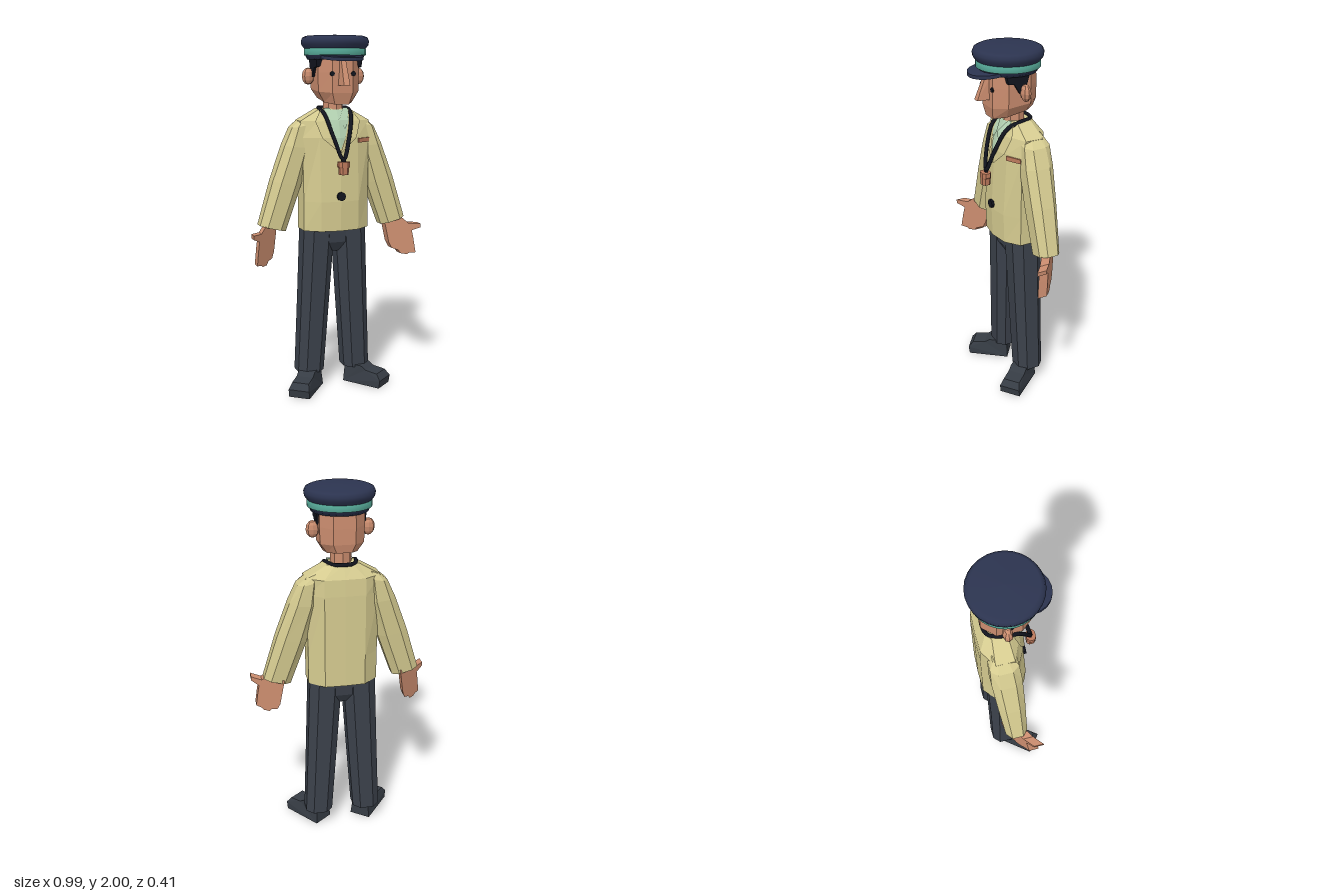
import * as THREE from 'three';

const paint = (name, color) => {
  const m = new THREE.MeshStandardMaterial({ color });
  m.name = name;
  return m;
};

// Faceted normals
function flat(g) {
  const out = g.index ? g.toNonIndexed() : g;
  out.computeVertexNormals();
  return out;
}

// Copy reflected in x, with corner order restored
function mirror(g) {
  const out = g.index ? g.toNonIndexed() : g.clone();
  const p = out.attributes.position;
  for (let i = 0; i < p.count; i += 3) {
    const t = [0, 2, 1].map(k => [-p.getX(i + k), p.getY(i + k), p.getZ(i + k)]);
    t.forEach((v, k) => p.setXYZ(i + k, ...v));
  }
  out.computeVertexNormals();
  return out;
}

function fromTriangles(list) {
  const g = new THREE.BufferGeometry();
  g.setAttribute('position', new THREE.Float32BufferAttribute(list.flat(2), 3));
  g.computeVertexNormals();
  return g;
}

// Skin over rings listed bottom to top, each counter-clockwise from above
function loft(rings) {
  const tris = [], n = rings[0].length;
  for (let r = 0; r + 1 < rings.length; r++) {
    for (let i = 0; i < n; i++) {
      const j = (i + 1) % n, lo = rings[r], up = rings[r + 1];
      tris.push([lo[i], lo[j], up[j]], [lo[i], up[j], up[i]]);
    }
  }
  const bottom = rings[0], top = rings[rings.length - 1];
  for (let i = 1; i + 1 < n; i++) {
    tris.push([top[0], top[i], top[i + 1]], [bottom[0], bottom[i + 1], bottom[i]]);
  }
  return fromTriangles(tris);
}

// Chamfered rectangular section, tilted by slopes kx and kz
function oct(cx, cy, cz, rx, rz, kx = 0, kz = 0) {
  const c = 0.5;
  return [[1, -c], [c, -1], [-c, -1], [-1, -c], [-1, c], [-c, 1], [c, 1], [1, c]]
    .map(([u, v]) => [cx + u * rx, cy + kx * u * rx + kz * v * rz, cz + v * rz]);
}

// Prism from an outline, centred on its depth
function prism(points, depth) {
  const shape = new THREE.Shape(points.map(p => new THREE.Vector2(...p)));
  return new THREE.ExtrudeGeometry(shape, { depth, bevelEnabled: false }).translate(0, 0, -depth / 2);
}

// Jacket rings: y, half width, fold x, front z, side front z, side back z, back z
const JACKET = [
  [0.935, 0.19, 0.11, 0.075, 0.0, -0.11, -0.18],
  [1.1, 0.19, 0.11, 0.08, 0.0, -0.11, -0.18],
  [1.45, 0.195, 0.11, 0.06, 0.0, -0.12, -0.18],
  [1.54, 0.2, 0.11, 0.035, -0.02, -0.12, -0.175],
  [1.605, 0.085, 0.05, -0.005, -0.03, -0.11, -0.135],
];
const jacketRing = ([y, w, m, zf, s, b, zb]) => [
  [w, y, s], [w, y, b], [m, y, zb], [0, y, zb - 0.004], [-m, y, zb],
  [-w, y, b], [-w, y, s], [-m, y, zf - 0.15 * m], [0, y, zf], [m, y, zf - 0.15 * m],
];

function chestZ(x, y) {
  let i = 0;
  while (i < JACKET.length - 2 && y > JACKET[i + 1][0]) i++;
  const a = JACKET[i], b = JACKET[i + 1];
  return a[3] + (b[3] - a[3]) * (y - a[0]) / (b[0] - a[0]) - 0.15 * x;
}

// Cloth strip lying on the chest; rows are y, inner x, outer x
function chestStrip(rows, lift) {
  const tris = [], at = (x, y) => [x, y, chestZ(x, y) + lift];
  for (let i = 0; i + 1 < rows.length; i++) {
    const [y0, a0, b0] = rows[i], [y1, a1, b1] = rows[i + 1];
    const a = at(a0, y0), b = at(b0, y0), c = at(b1, y1), d = at(a1, y1);
    tris.push([a, b, c], [a, c, d]);
  }
  return fromTriangles(tris);
}

export function createModel() {
  const group = new THREE.Group();
  const skin = paint('skin', 0xcb8d6f), cloth = paint('jacket cloth', 0xd5cb90);
  const mint = paint('shirt mint', 0xb4d2b2), slate = paint('trouser slate', 0x3b414b);
  const leather = paint('shoe leather', 0x363c44), navy = paint('cap navy', 0x2c3450);
  const teal = paint('cap band teal', 0x58ad9b), black = paint('black', 0x12151f);
  const copper = paint('copper', 0xbd7a5c);
  cloth.side = mint.side = THREE.DoubleSide;

  const add = (name, g, mat) => {
    const m = new THREE.Mesh(g, mat);
    m.name = name;
    group.add(m);
  };
  const pair = (name, g, mat) => {
    const f = flat(g);
    add('left' + name, f, mat);
    add('right' + name, mirror(f), mat);
  };
  const lathe = pts => new THREE.LatheGeometry(pts.map(p => new THREE.Vector2(...p)), 28).translate(0, 0, -0.021);

  // Cap
  add('capBase', lathe([[0, 1.868], [0.15, 1.868], [0.162, 1.892]]), navy);
  add('capBand', lathe([[0.16, 1.89], [0.169, 1.892], [0.169, 1.925], [0.16, 1.927]]), teal);
  add('capCrown', lathe([[0.164, 1.922], [0.182, 1.945], [0.185, 1.965], [0.177, 1.984], [0.16, 1.992], [0, 2]]), navy);
  const visor = new THREE.CylinderGeometry(0.117, 0.117, 0.018, 20).translate(0, 1.88, 0.083);
  const vp = visor.attributes.position;
  for (let i = 0; i < vp.count; i++) vp.setY(i, vp.getY(i) - 0.12 * Math.max(0, vp.getZ(i) - 0.08));
  add('capVisor', flat(visor), navy);

  // Head
  add('head', loft([
    oct(0, 1.652, -0.03, 0.08, 0.118, 0, -0.18),
    oct(0, 1.705, -0.028, 0.115, 0.128, 0, -0.1),
    oct(0, 1.8, -0.028, 0.118, 0.128),
    oct(0, 1.89, -0.028, 0.116, 0.125),
  ]), skin);
  const noseRing = (y, w, tip) => [[w, y, 0.08], [-w, y, 0.08], [-w * 0.6, y, tip], [w * 0.6, y, tip]];
  add('nose', loft([noseRing(1.732, 0.029, 0.165), noseRing(1.86, 0.022, 0.112)]), skin);
  add('neck', flat(new THREE.CylinderGeometry(0.056, 0.058, 0.14, 8).translate(0, 1.62, -0.055)), skin);
  pair('Ear', new THREE.SphereGeometry(1, 8, 6).scale(0.036, 0.046, 0.026).translate(0.146, 1.78, -0.045), skin);
  pair('Eye', new THREE.CylinderGeometry(0.013, 0.013, 0.008, 8).rotateX(Math.PI / 2).translate(0.06, 1.793, 0.102), black);
  pair('Hair', prism([[0.06, 1.9], [0.045, 1.83], [0.01, 1.825], [-0.02, 1.775], [-0.055, 1.8], [-0.085, 1.9]], 0.03)
    .rotateY(-Math.PI / 2).translate(0.115, 0, 0), black);

  // Jacket, shirt front and collars
  add('jacket', loft(JACKET.map(jacketRing)), cloth);
  pair('ShirtFront', chestStrip([[1.39, 0, 0.005], [1.45, 0, 0.032], [1.54, 0, 0.06], [1.6, 0, 0.078]], 0.004), mint);
  pair('ShirtCollar', chestStrip([[1.5, 0.03, 0.035], [1.545, 0.002, 0.058], [1.61, 0.04, 0.07]], 0.012), mint);
  pair('Lapel', chestStrip([[1.37, 0, 0.008], [1.45, 0.03, 0.1], [1.54, 0.058, 0.13], [1.605, 0.072, 0.086]], 0.009), cloth);
  add('pocketTrim', flat(new THREE.BoxGeometry(0.088, 0.024, 0.009).rotateY(0.49).translate(0.153, 1.432, 0.026)), copper);
  add('button', flat(new THREE.CylinderGeometry(0.025, 0.025, 0.016, 8).rotateX(Math.PI / 2).translate(0, 1.13, 0.082)), black);

  // Sleeves
  pair('Sleeve', loft([
    oct(0.36, 0.955, -0.06, 0.073, 0.06, 0.25),
    oct(0.277, 1.2, -0.068, 0.08, 0.073, 0.2),
    oct(0.212, 1.4, -0.075, 0.073, 0.08, 0.1),
    oct(0.186, 1.515, -0.078, 0.054, 0.074, -0.2),
    oct(0.165, 1.555, -0.08, 0.03, 0.05, -0.4),
  ]), cloth);

  // Hands: flat outlines turned forward by shearing
  const hand = prism([[0.325, 0.97], [0.41, 0.97], [0.44, 0.94], [0.495, 0.942], [0.495, 0.92], [0.455, 0.9],
    [0.462, 0.86], [0.474, 0.77], [0.445, 0.765], [0.435, 0.755], [0.405, 0.757], [0.395, 0.775],
    [0.365, 0.785], [0.35, 0.82]], 0.055);
  const hp = hand.attributes.position;
  for (let i = 0; i < hp.count; i++) hp.setZ(i, hp.getZ(i) + (hp.getX(i) - 0.445) * 0.85);
  pair('Hand', hand, skin);

  // Lanyard and whistle
  const half = [[0.045, 1.455, 0.082], [0.076, 1.575, 0.025], [0.082, 1.605, -0.05], [0.055, 1.607, -0.125]];
  const loop = [[0, 1.335, 0.112], ...half, [0, 1.608, -0.14],
    ...half.map(([x, y, z]) => [-x, y, z]).reverse()].map(p => new THREE.Vector3(...p));
  add('lanyard', new THREE.TubeGeometry(new THREE.CatmullRomCurve3(loop, true), 60, 0.011, 6, true), black);
  add('whistle', loft([oct(0, 1.255, 0.115, 0.024, 0.024), oct(0, 1.29, 0.115, 0.026, 0.025),
    oct(0, 1.3, 0.115, 0.033, 0.025), oct(0, 1.325, 0.115, 0.032, 0.025)]), copper);
  add('whistleClip', flat(new THREE.BoxGeometry(0.022, 0.03, 0.014).translate(0, 1.335, 0.112)), black);

  // Trousers
  add('hips', loft([oct(0, 0.805, -0.065, 0.035, 0.05), oct(0, 0.86, -0.065, 0.1, 0.083),
    oct(0, 0.95, -0.065, 0.165, 0.092)]), slate);
  pair('TrouserLeg', loft([oct(0.141, 0.095, -0.078, 0.077, 0.077), oct(0.115, 0.55, -0.07, 0.084, 0.083),
    oct(0.093, 0.95, -0.065, 0.09, 0.09)]), slate);

  // Shoes: side outline, narrowed on top, toes turned out
  const shoe = prism([[-0.095, 0], [0.145, 0], [0.152, 0.045], [0.125, 0.08], [0.05, 0.088], [0.02, 0.108], [-0.09, 0.108]], 0.122)
    .rotateY(-Math.PI / 2);
  const sp = shoe.attributes.position;
  for (let i = 0; i < sp.count; i++) if (sp.getY(i) > 0.06) sp.setX(i, sp.getX(i) * 0.8);
  pair('Shoe', shoe.rotateY(0.66).translate(0.17, 0, -0.015), leather);

  return group;
}
